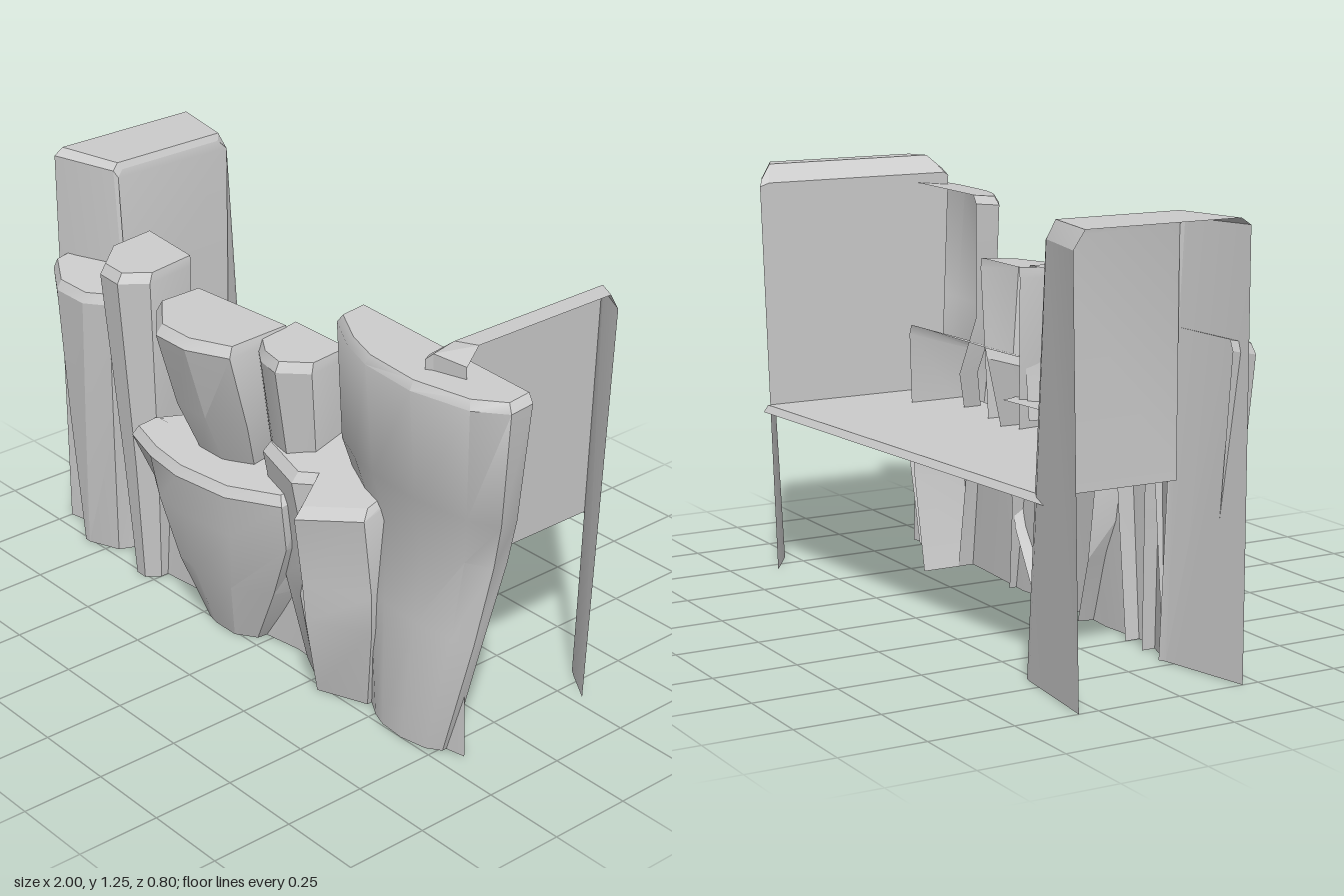
import * as THREE from 'three';
import { toCreasedNormals } from 'three/addons/utils/BufferGeometryUtils.js';

const material = new THREE.MeshStandardMaterial({ color: 0xcccccc, side: THREE.DoubleSide });

function meshFrom(name, tris, crease = 0.4) {
  const g = new THREE.BufferGeometry();
  g.setAttribute('position', new THREE.Float32BufferAttribute(tris.flat(2), 3));
  const mesh = new THREE.Mesh(toCreasedNormals(g, crease), material);
  mesh.name = name;
  return mesh;
}

// Joins rows of [x, y, z] points into a sheet
function sheet(rows) {
  const tris = [];
  for (let r = 0; r < rows.length - 1; r++) {
    const a = rows[r], b = rows[r + 1];
    for (let i = 0; i < a.length - 1; i++) {
      tris.push([a[i], b[i], a[i + 1]], [a[i + 1], b[i], b[i + 1]]);
    }
  }
  return tris;
}

// Flat lid over a row of points, facing up
function lid(row) {
  const flat = row.map(p => new THREE.Vector2(p[0], -p[2]));
  return THREE.ShapeUtils.triangulateShape(flat, []).map(([i, j, k]) => {
    const up = (flat[j].x - flat[i].x) * (flat[k].y - flat[i].y)
      - (flat[j].y - flat[i].y) * (flat[k].x - flat[i].x) > 0;
    return up ? [row[i], row[j], row[k]] : [row[i], row[k], row[j]];
  });
}

// Rock shell, open at the back: sections run top down as { y, p: [[x, z], ...] }
function rock(name, sections, { tilt = 0.1, bevel = 0.03, crease = 0.4 } = {}) {
  const top = sections[0].p;
  const xs = top.map(p => p[0]), zs = top.map(p => p[1]);
  const mid = (Math.min(...xs) + Math.max(...xs)) / 2;
  const back = Math.min(...zs), front = Math.max(...zs);
  const rise = z => (front - z) * tilt;
  const rows = sections.map((s, i) => s.p.map(([x, z]) => [x, s.y + (i ? 0 : rise(z)), z]));
  const rim = top.map(([x, z]) => [
    mid + (x - mid) * 0.95, sections[0].y + bevel + rise(z), back + (z - back) * 0.92]);
  return meshFrom(name, [...lid(rim), ...sheet([rim, ...rows])], crease);
}

// End pillar, open on its outer side: rails run front bottom, over the top, to back bottom
function pillar(name, outer, ridge, inner) {
  const g = new THREE.Group();
  g.name = name;
  g.add(meshFrom('pillarShell', sheet([outer, ridge, inner]), 0.2));
  // The inner wall drops straight down to the shelf
  const foot = (top, base) => [top[0], 0.52, top[2] + (base[2] - top[2]) * 0.56];
  g.add(meshFrom('innerWall', sheet([
    [inner[2], inner[3]], [inner[1], inner[4]],
    [foot(inner[1], inner[0]), foot(inner[4], inner[5])]])));
  return g;
}

export function createModel() {
  const model = new THREE.Group();
  model.name = 'rockLedge';

  // End pillars
  model.add(pillar('rightPillar',
    [[-1, 0, 0.2], [-1, 1.23, 0.2], [-1, 1.25, 0.17], [-1, 1.25, -0.3], [-1, 1.2, -0.335], [-1, 0, -0.31]],
    [[-0.72, 0, 0.14], [-0.785, 1.23, 0.14], [-0.79, 1.25, 0.12], [-0.79, 1.25, -0.26], [-0.785, 1.2, -0.285], [-0.69, 0, -0.275]],
    [[-0.7, 0, 0.13], [-0.775, 1.21, 0.13], [-0.78, 1.23, 0.11], [-0.78, 1.23, -0.25], [-0.775, 1.2, -0.28], [-0.67, 0, -0.27]]));
  model.add(pillar('leftPillar',
    [[0.82, 0, 0.18], [0.82, 1.2, 0.21], [0.82, 1.25, 0.17], [0.82, 1.25, -0.31], [0.82, 1.2, -0.34], [0.82, 0, -0.28]],
    [[0.72, 0, 0.2], [0.72, 1.21, 0.235], [0.76, 1.25, 0.2], [0.76, 1.25, -0.34], [0.72, 1.21, -0.385], [0.72, 0, -0.345]],
    [[0.7, 0, 0.2], [0.7, 1.19, 0.245], [0.7, 1.2, 0.23], [0.7, 1.2, -0.37], [0.7, 1.19, -0.4], [0.7, 0, -0.36]]));

  // Shelf with a small rear lip
  model.add(meshFrom('shelf', sheet([
    [[-0.775, 0.5, -0.285], [0.7, 0.5, -0.4]],
    [[-0.775, 0.52, -0.27], [0.7, 0.52, -0.385]],
    [[-0.775, 0.52, 0.13], [0.7, 0.52, 0.23]]]), 0.2));

  // Wall behind the feet of the rocks
  const line = [[-0.72, 0.14], [-0.55, 0.2], [-0.35, 0.18], [-0.1, 0.2], [0.1, 0.17], [0.4, 0.19], [0.72, 0.2]];
  model.add(meshFrom('backingWall', sheet([0.52, 0].map(y => line.map(([x, z]) => [x, y, z])))));

  // Tall rocks on the right
  model.add(rock('outerRightRock', [
    { y: 0.87, p: [[-0.97, 0.17], [-0.975, 0.24], [-0.86, 0.31], [-0.73, 0.31], [-0.65, 0.27], [-0.64, 0.12]] },
    { y: 0.45, p: [[-0.91, 0.18], [-0.91, 0.24], [-0.85, 0.29], [-0.77, 0.29], [-0.68, 0.25], [-0.66, 0.14]] },
    { y: 0, p: [[-0.85, 0.19], [-0.85, 0.24], [-0.84, 0.26], [-0.82, 0.26], [-0.72, 0.22], [-0.69, 0.15]] }],
    { tilt: 0.2 }));
  model.add(rock('innerRightRock', [
    { y: 1.02, p: [[-0.66, 0.11], [-0.665, 0.25], [-0.59, 0.34], [-0.5, 0.345], [-0.43, 0.28], [-0.43, 0.13]] },
    { y: 0.4, p: [[-0.62, 0.13], [-0.62, 0.23], [-0.575, 0.29], [-0.515, 0.29], [-0.47, 0.24], [-0.47, 0.14]] },
    { y: 0, p: [[-0.6, 0.14], [-0.6, 0.22], [-0.57, 0.26], [-0.53, 0.26], [-0.5, 0.22], [-0.5, 0.15]] }]));

  // Middle rocks
  model.add(rock('upperMiddleRock', [
    { y: 0.965, p: [[-0.37, 0.16], [-0.375, 0.3], [-0.25, 0.398], [-0.12, 0.398], [0.01, 0.34], [0.01, 0.13]] },
    { y: 0.73, p: [[-0.375, 0.15], [-0.375, 0.25], [-0.25, 0.33], [-0.12, 0.33], [0.01, 0.28], [0.01, 0.12]] },
    { y: 0.55, p: [[-0.33, 0.13], [-0.32, 0.2], [-0.22, 0.26], [-0.12, 0.26], [-0.03, 0.22], [-0.03, 0.11]] }],
    { tilt: 0.03 }));
  model.add(rock('upperSmallRock', [
    { y: 0.955, p: [[-0.01, 0.09], [0, 0.23], [0.06, 0.27], [0.14, 0.285], [0.22, 0.22], [0.22, 0.09]] },
    { y: 0.5, p: [[0.01, 0.1], [0.02, 0.18], [0.06, 0.2], [0.13, 0.21], [0.19, 0.17], [0.19, 0.1]] }],
    { tilt: 0.08 }));
  model.add(rock('lowerMiddleRock', [
    { y: 0.53, p: [[-0.36, 0.16], [-0.465, 0.27], [-0.475, 0.33], [-0.34, 0.365], [-0.2, 0.38], [0, 0.36], [0.17, 0.29], [0.18, 0.2]] },
    { y: 0.4, p: [[-0.36, 0.13], [-0.43, 0.22], [-0.44, 0.28], [-0.32, 0.35], [-0.2, 0.36], [0, 0.34], [0.165, 0.27], [0.15, 0.15]] },
    { y: 0.2, p: [[-0.33, 0.13], [-0.34, 0.19], [-0.345, 0.23], [-0.28, 0.31], [-0.2, 0.32], [-0.04, 0.31], [0.07, 0.24], [0.1, 0.14]] },
    { y: 0, p: [[-0.26, 0.14], [-0.27, 0.18], [-0.27, 0.22], [-0.22, 0.25], [-0.18, 0.26], [-0.09, 0.26], [-0.03, 0.22], [-0.02, 0.14]] }],
    { tilt: 0.2 }));
  model.add(meshFrom('lowerMiddleRockTop', lid([
    [-0.43, 0.585, 0.26], [-0.34, 0.605, 0.16], [-0.2, 0.615, 0.06], [0, 0.615, 0.04], [0.04, 0.61, 0.1], [0.16, 0.595, 0.2]])));

  // Notched rock beside them
  model.add(rock('notchedRock', [
    { y: 0.62, p: [[0.04, 0.01], [0.04, 0.25], [0.22, 0.295], [0.28, 0.265], [0.345, 0.39], [0.52, 0.29], [0.52, 0.01]] },
    { y: 0.4, p: [[0.09, 0.11], [0.09, 0.23], [0.25, 0.265], [0.285, 0.24], [0.33, 0.35], [0.52, 0.26], [0.52, 0.02]] },
    { y: 0.28, p: [[0.1, 0.13], [0.1, 0.22], [0.22, 0.265], [0.25, 0.23], [0.345, 0.35], [0.51, 0.25], [0.51, 0.02]] },
    { y: 0, p: [[0.15, 0.15], [0.15, 0.18], [0.23, 0.22], [0.25, 0.2], [0.3, 0.27], [0.45, 0.21], [0.45, 0.02]] }],
    { tilt: 0.3 }));

  // Big waisted rock on the left
  const shape = [[0, -1], [0, 0.3], [0.17, 0.7], [0.33, 0.92], [0.6, 1], [0.87, 0.8], [1, 0.45], [1, 0]];
  const big = [ // y, left x, right x, back z, front z
    [1.13, 0.3, 1, 0.15, 0.315], [0.8, 0.32, 0.97, 0.16, 0.285], [0.63, 0.35, 0.9, 0.12, 0.23],
    [0.4, 0.4, 0.88, 0.18, 0.255], [0, 0.45, 0.76, 0.17, 0.25]];
  model.add(rock('bigLeftRock', big.map(([y, l, r, b, f]) => ({
    y, p: shape.map(([u, v]) => [l + (r - l) * u, v < 0 ? b - 0.03 : b + (f - b) * v])
  })), { tilt: 0.1, bevel: 0.025, crease: 0.65 }));

  return model;
}
